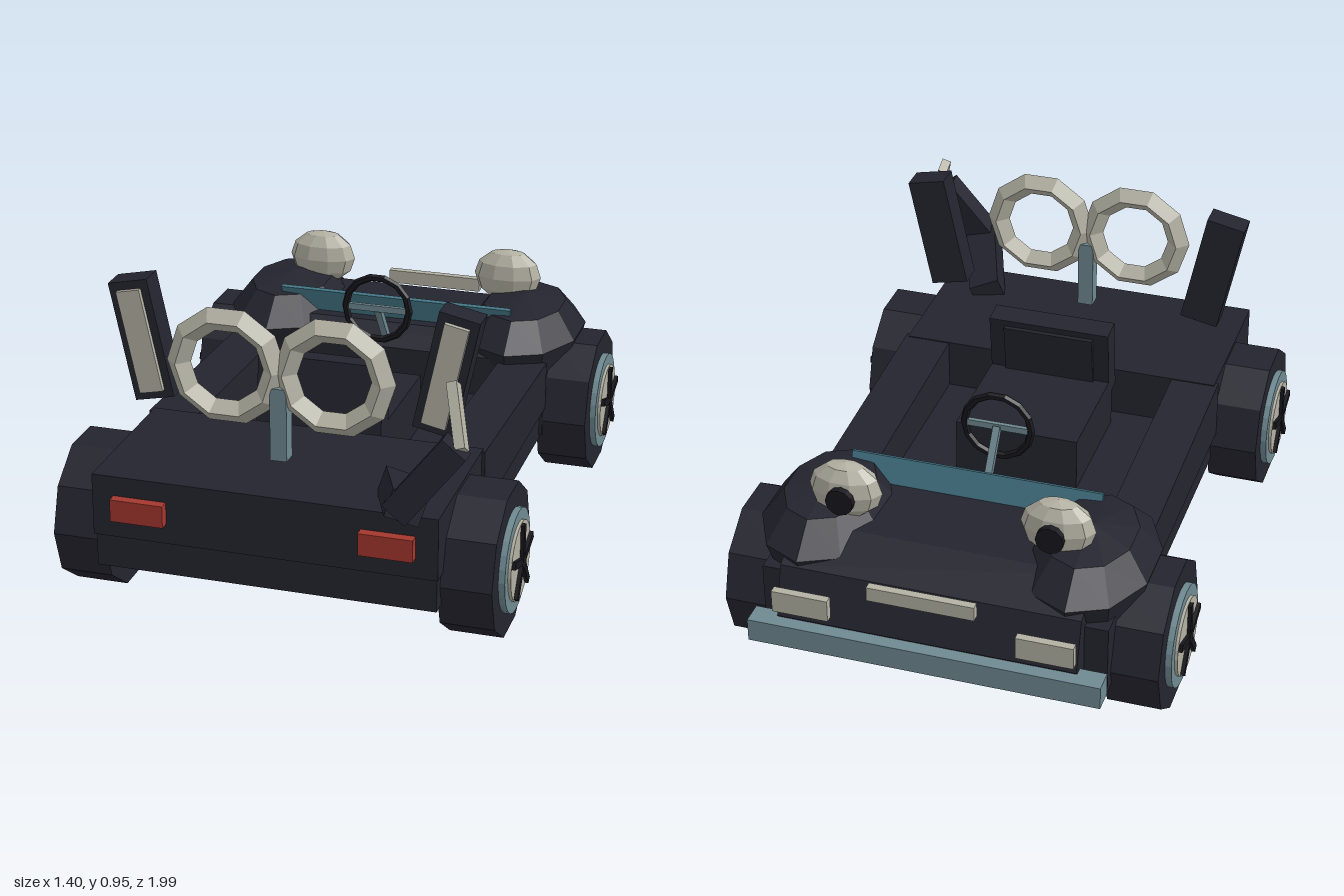
import * as THREE from 'three';

const mat = (name, color) => {
  const m = new THREE.MeshStandardMaterial({ color });
  m.name = name;
  m.flatShading = true;
  return m;
};

export function createModel() {
  const root = new THREE.Group();
  root.name = 'buggy';
  const dark = mat('darkPaint', 0x24242f);
  const black = mat('blackTrim', 0x17171d);
  const bone = mat('bone', 0xb3b1a3);
  const steel = mat('steelBlue', 0x6f8991);
  const teal = mat('tealGlass', 0x447685);
  const red = mat('redLamp', 0xa3372e);

  const add = (name, geo, m, x = 0, y = 0, z = 0, parent = root) => {
    const mesh = new THREE.Mesh(geo, m);
    mesh.name = name;
    mesh.position.set(x, y, z);
    parent.add(mesh);
    return mesh;
  };
  // Box given by its extents
  const box = (name, m, x0, x1, y0, y1, z0, z1) =>
    add(name, new THREE.BoxGeometry(x1 - x0, y1 - y0, z1 - z0), m, (x0 + x1) / 2, (y0 + y1) / 2, (z0 + z1) / 2);
  // Side profile of [z, y] points, extruded across x
  const profile = (name, m, pts, width, x = 0) => {
    const shape = new THREE.Shape(pts.map(([z, y]) => new THREE.Vector2(z, y)));
    const geo = new THREE.ExtrudeGeometry(shape, { depth: width, bevelEnabled: false });
    geo.translate(0, 0, -width / 2).rotateY(-Math.PI / 2);
    return add(name, geo, m, x);
  };
  // Box stretched between two points
  const beam = (name, m, a, b, w, d) => {
    const p = new THREE.Vector3(...a), q = new THREE.Vector3(...b);
    const mesh = add(name, new THREE.BoxGeometry(w, p.distanceTo(q), d), m);
    mesh.position.copy(p).lerp(q, 0.5);
    mesh.quaternion.setFromUnitVectors(new THREE.Vector3(0, 1, 0), q.sub(p).normalize());
    return mesh;
  };

  // Body: floor pan, rear deck, cockpit walls and hood
  box('floorPan', dark, -0.51, 0.51, 0.167, 0.3, -0.88, 0.85);
  box('rearDeck', dark, -0.515, 0.515, 0.27, 0.46, 0.36, 0.86);
  for (const s of [-1, 1]) {
    profile('cockpitWall', dark,
      [[0.38, 0.27], [0.38, 0.458], [-0.42, 0.425], [-0.42, 0.27]], 0.15, s * 0.45);
  }
  profile('hood', dark, [[-0.39, 0.25], [-0.39, 0.43], [-0.46, 0.49], [-0.78, 0.5],
    [-0.92, 0.44], [-0.965, 0.29], [-0.88, 0.2]], 0.9);
  box('frontSill', dark, -0.52, 0.52, 0.18, 0.4, -0.89, -0.4);

  // Front fenders with domed eyes
  const fenderProfile = [[0, 0.36], [0.17, 0.37], [0.195, 0.46], [0.13, 0.545], [0, 0.572]]
    .map(([r, y]) => new THREE.Vector2(r, y));
  for (const s of [-1, 1]) {
    const fender = add('frontFender', new THREE.LatheGeometry(fenderProfile, 10), dark, s * 0.4, 0, -0.635);
    fender.scale.z = 1.47;
    const eye = add('eye', new THREE.SphereGeometry(1, 10, 6), bone, s * 0.32, 0.6, -0.715);
    eye.scale.set(0.112, 0.09, 0.062);
    const pupil = add('pupil', new THREE.CylinderGeometry(0.042, 0.042, 0.025, 12), black, s * 0.315, 0.595, -0.777);
    pupil.rotation.x = Math.PI / 2;
  }

  // Windscreen and steering
  beam('windscreen', teal, [0, 0.49, -0.505], [0, 0.57, -0.48], 0.775, 0.014);
  add('steeringWheel', new THREE.TorusGeometry(0.105, 0.012, 6, 14), black, 0, 0.605, -0.28);
  box('steeringSpoke', steel, -0.095, 0.095, 0.595, 0.615, -0.288, -0.274);
  beam('steeringColumn', steel, [0, 0.605, -0.285], [0, 0.46, -0.39], 0.022, 0.022);

  // Seat
  box('seatBase', dark, -0.195, 0.195, 0.28, 0.47, -0.1, 0.3);
  beam('seatBack', dark, [0, 0.42, 0.305], [0, 0.655, 0.278], 0.39, 0.075);
  beam('seatCushion', dark, [0, 0.47, 0.26], [0, 0.63, 0.24], 0.29, 0.02);

  // Wheels
  for (const s of [-1, 1]) for (const z of [0.59, -0.63]) {
    const wheel = new THREE.Group();
    wheel.name = 'wheel';
    wheel.position.set(s * 0.58, 0.23, z);
    wheel.scale.x = 1;
    wheel.rotation.y = s > 0 ? 0 : Math.PI;
    root.add(wheel);
    const disc = (name, m, r, x0, x1, n) => {
      const geo = new THREE.CylinderGeometry(r, r, x1 - x0, n);
      geo.rotateZ(Math.PI / 2);
      return add(name, geo, m, (x0 + x1) / 2, 0, 0, wheel);
    };
    disc('tyre', dark, 0.229, -0.08, 0.08, 10).rotation.x = Math.PI / 2 + Math.PI / 10 * 2 * 2.5;
    disc('rim', steel, 0.155, 0.07, 0.099, 24);
    disc('hubPlate', bone, 0.12, 0.09, 0.108, 24);
    for (let i = 0; i < 5; i++) {
      const spoke = new THREE.BoxGeometry(0.014, 0.115, 0.022);
      spoke.translate(0, 0.0575, 0);
      add('spoke', spoke, black, 0.112, 0, 0, wheel).rotation.x = i * Math.PI * 2 / 5;
    }
    disc('hubCap', black, 0.022, 0.1, 0.12, 10);
  }

  // Bumper, lamps and grille at the nose
  box('bumper', steel, -0.53, 0.53, 0.21, 0.282, -1, -0.93);
  box('grille', bone, -0.16, 0.16, 0.43, 0.475, -0.995, -0.97);
  for (const s of [-1, 1]) {
    const lamp = box('noseLamp', bone, -0.085, 0.085, 0.33, 0.4, -0.998, -0.973);
    lamp.position.x = s * 0.365;
    const tail = box('tailLamp', red, -0.08, 0.08, 0.332, 0.4, 0.85, 0.89);
    tail.position.x = s * 0.37;

    // Tilted upright panels
    const panel = new THREE.Group();
    panel.name = 'uprightPanel';
    panel.position.set(s * 0.458, 0.775, 0.55);
    panel.rotation.z = -s * 0.208;
    root.add(panel);
    add('panelCase', new THREE.BoxGeometry(0.122, 0.365, 0.08), dark, 0, 0, 0, panel);
    add('panelFace', new THREE.BoxGeometry(0.073, 0.315, 0.016), bone, 0, 0, 0.047, panel);

    // Paired rings
    const ring = add('ring', new THREE.TorusGeometry(0.145, 0.036, 4, 10), bone, s * 0.16, 0.769, 0.685);
    ring.name = 'ring';
  }
  box('ringPost', steel, -0.025, 0.025, 0.503, 0.725, 0.66, 0.71);

  // Jointed arm at the rear corner
  beam('lowerArm', dark, [0.35, 0.47, 0.69], [0.45, 0.535, 0.965], 0.1, 0.08);
  beam('upperArm', dark, [0.42, 0.515, 0.955], [0.58, 0.72, 0.93], 0.085, 0.07);
  beam('armPlate', bone, [0.595, 0.71, 0.93], [0.54, 0.855, 0.82], 0.03, 0.045);

  return root;
}
